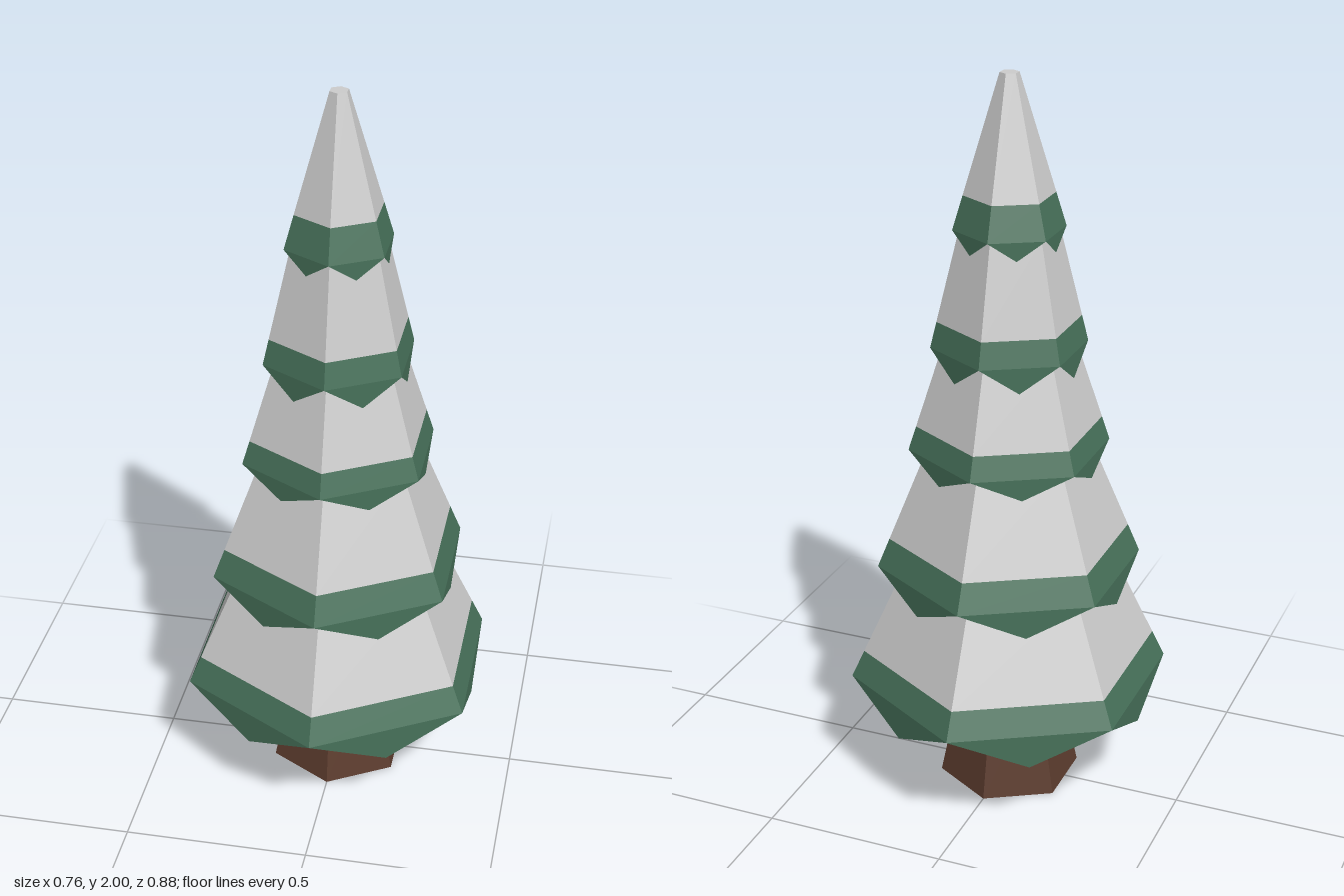
import * as THREE from 'three';

const SIDES = 6;
const material = (color, side = THREE.FrontSide) =>
  new THREE.MeshStandardMaterial({ color, flatShading: true, side });

const snow = material(0xcccccc);
const needles = material(0x47715a);
const fringeGreen = material(0x47715a, THREE.DoubleSide);
const bark = material(0x5c3c2e);

// Tapered six-sided ring with a corner facing +z
function taper(name, y0, r0, y1, r1, mat, open = false) {
  const geometry = new THREE.CylinderGeometry(r1, r0, y1 - y0, SIDES, 1, open);
  const mesh = new THREE.Mesh(geometry, mat);
  mesh.position.y = (y0 + y1) / 2;
  mesh.name = name;
  return mesh;
}

// One hanging triangle below each side of a tier
function fringe(name, radius, y, tipY) {
  const points = [];
  const corner = (i) => {
    const a = (i / SIDES) * Math.PI * 2;
    return new THREE.Vector3(Math.sin(a) * radius, y, Math.cos(a) * radius);
  };
  for (let i = 0; i < SIDES; i++) {
    const a = corner(i), b = corner(i + 1);
    const tip = a.clone().lerp(b, 0.5).setY(tipY);
    points.push(a, tip, b);
  }
  const geometry = new THREE.BufferGeometry().setFromPoints(points);
  geometry.computeVertexNormals();
  const mesh = new THREE.Mesh(geometry, fringeGreen);
  mesh.name = name;
  return mesh;
}

export function createModel() {
  const tree = new THREE.Group();
  tree.name = 'snowyTree';

  tree.add(taper('trunk', 0, 0.195, 0.325, 0.128, bark));

  // Tiers from the bottom up: fringe tip, rim, snow line, top; rim and top radius
  const tiers = [
    { tip: 0.23, rim: 0.325, line: 0.4, top: 0.66, r: 0.44, rTop: 0.284 },
    { tip: 0.58, rim: 0.66, line: 0.74, top: 1.0, r: 0.36, rTop: 0.22 },
    { tip: 0.94, rim: 1.0, line: 1.065, top: 1.285, r: 0.27, rTop: 0.177 },
    { tip: 1.215, rim: 1.285, line: 1.355, top: 1.6, r: 0.208, rTop: 0.13 },
    { tip: 1.55, rim: 1.6, line: 1.69, top: 2.0, r: 0.147, rTop: 0.025 },
  ];
  tiers.forEach(({ tip, rim, line, top, r, rTop }, i) => {
    const rLine = THREE.MathUtils.mapLinear(line, rim, top, r, rTop);
    const tier = new THREE.Group();
    tier.name = `tier${i + 1}`;
    tier.add(
      taper('greenRim', rim, r, line, rLine, needles),
      taper('snowCover', line, rLine, top, rTop, snow),
      fringe('fringe', r, rim, tip)
    );
    tree.add(tier);
  });

  return tree;
}
